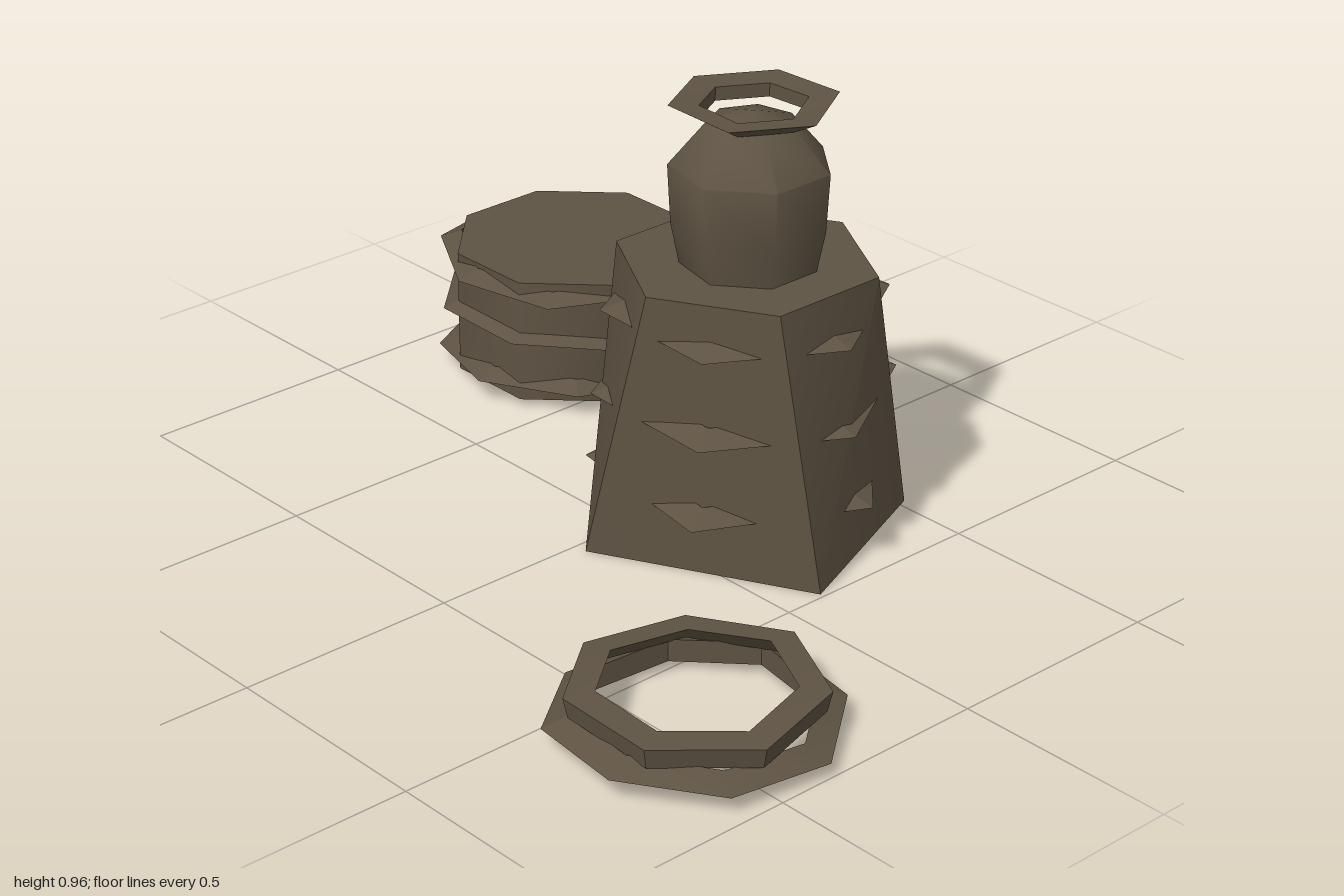
import * as THREE from 'three';
import { toCreasedNormals } from 'three/addons/utils/BufferGeometryUtils.js';
import { ConvexGeometry } from 'three/addons/geometries/ConvexGeometry.js';

const stone = new THREE.MeshStandardMaterial({ color: 0x5e5343, side: THREE.DoubleSide });
const rad = THREE.MathUtils.degToRad;

function add(parent, name, geometry, x = 0, y = 0, z = 0) {
  const mesh = new THREE.Mesh(geometry, stone);
  mesh.name = name;
  mesh.position.set(x, y, z);
  parent.add(mesh);
  return mesh;
}

// Low-poly hoop from a closed [radius, y] profile, with a slight wave in height
function hoop(profile, sides, turn, wave = 0) {
  const pts = [...profile, profile[0]].map(([r, y]) => new THREE.Vector2(r, y));
  const g = new THREE.LatheGeometry(pts, sides, turn);
  const p = g.attributes.position;
  for (let i = 0; i < p.count; i++) {
    const a = Math.atan2(p.getX(i), p.getZ(i));
    p.setY(i, p.getY(i) + wave * Math.sin(a * 2 + turn * 5));
  }
  return toCreasedNormals(g, 0.3);
}

// Sharp-edged band: a narrow triangle in section
const band = (r, inner, h) => [[inner, -h / 2], [r, 0], [inner, h / 2]];

export function createModel() {
  const model = new THREE.Group();
  const group = (name, x, z) => {
    const g = new THREE.Group();
    g.name = name;
    g.position.set(x, 0, z);
    model.add(g);
    return g;
  };

  // Tapered tower: five-sided foot, six-sided top
  const tower = group('tower', 0.145, -0.205);
  const corners = [[-0.115, 0.345], [0.345, 0.105], [0.175, -0.315], [-0.145, -0.305], [-0.345, 0]]
    .map(([x, z]) => new THREE.Vector3(x, 0, z));
  for (let i = 0; i < 6; i++) {
    const a = i * Math.PI / 3;
    corners.push(new THREE.Vector3(0.285 * Math.sin(a), 0.61, 0.28 * Math.cos(a)));
  }
  add(tower, 'towerBody', toCreasedNormals(new ConvexGeometry(corners), 0.8));

  // Hoops whose corners break through the tower walls
  [[0.14, 0.335, 5, 28], [0.325, 0.33, 6, 30], [0.515, 0.31, 6, 30]].forEach(([y, r, n, turn]) =>
    add(tower, 'towerHoop', hoop(band(r, r - 0.07, 0.045), n, rad(turn), 0.008), 0, y, 0));

  // Jar on top of the tower
  const jarProfile = [[0, 0.6], [0.145, 0.6], [0.165, 0.7], [0.172, 0.83], [0.095, 0.92], [0, 0.945]]
    .map(([r, y]) => new THREE.Vector2(r, y));
  add(tower, 'jar', toCreasedNormals(new THREE.LatheGeometry(jarProfile, 7, rad(13)), 1.0), 0.01, 0, 0);

  // Flared rim around the jar mouth
  add(tower, 'jarRim', hoop([[0.115, 0.925], [0.18, 0.96], [0.115, 0.955]], 6, rad(30), 0.003), 0, 0, -0.015);

  // Drum with three hoops
  const drum = group('drum', -0.68, -0.45);
  const body = new THREE.CylinderGeometry(0.28, 0.28, 0.29, 8);
  body.rotateY(Math.PI / 8);
  add(drum, 'drumBody', toCreasedNormals(body, 0.9), 0, 0.165, 0);
  [[0.05, 5], [0.17, 22], [0.28, 38]].forEach(([y, turn]) =>
    add(drum, 'drumHoop', hoop(band(0.315, 0.265, 0.04), 8, rad(turn), 0.008), 0, y, 0));

  // Loose ring on the ground: wide lower hoop and narrower upper hoop
  const ring = group('looseRing', 0.705, 0.45);
  add(ring, 'lowerHoop', hoop(band(0.303, 0.245, 0.05), 8, rad(15), 0.01), 0, 0.04, 0);
  add(ring, 'upperHoop', hoop([[0.255, -0.025], [0.265, 0.02], [0.2, 0.025]], 7, rad(26), 0.008), 0, 0.09, 0);

  return model;
}
